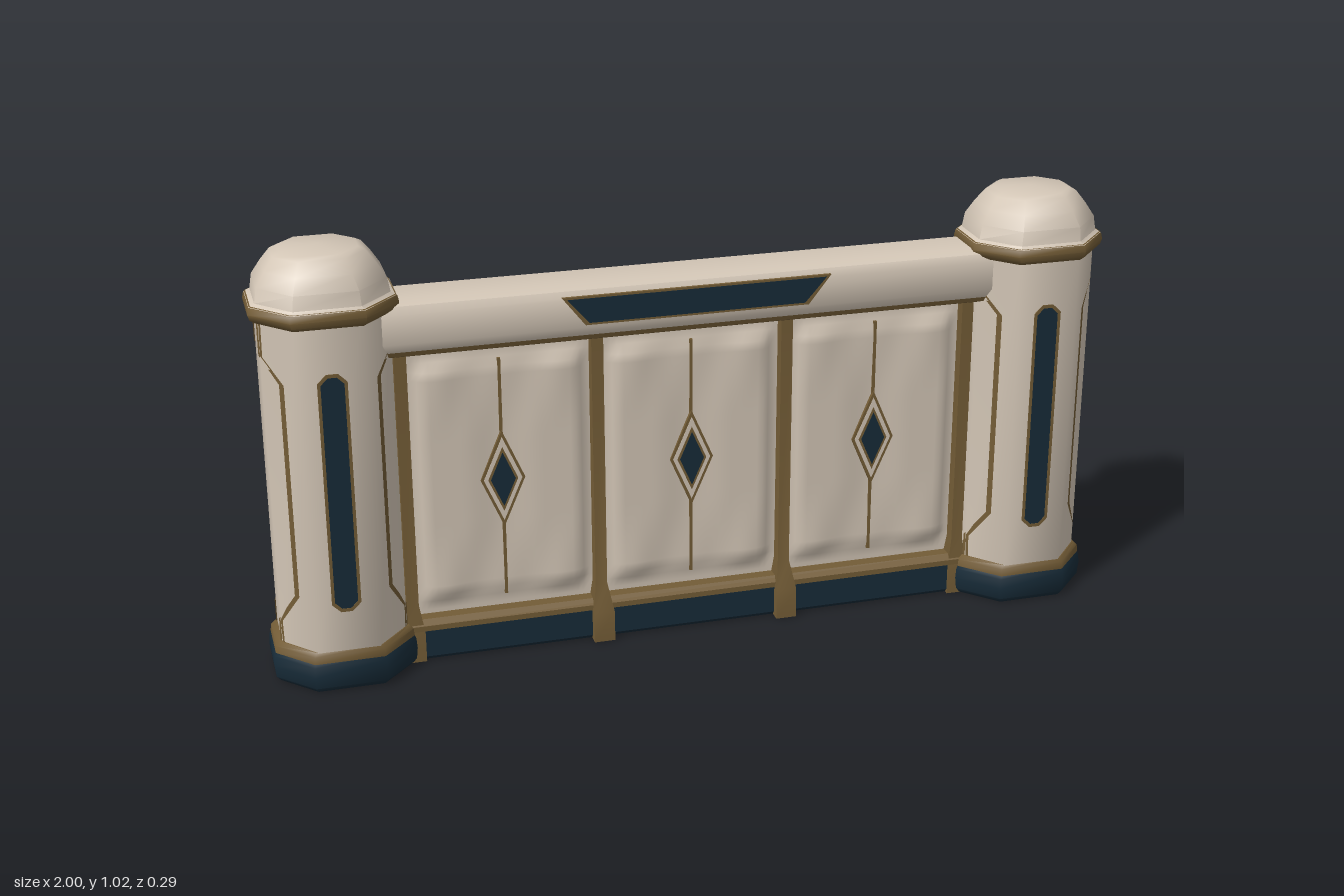
import * as THREE from 'three';
import { toCreasedNormals } from 'three/addons/utils/BufferGeometryUtils.js';

const mat = (name, color, side = THREE.FrontSide) => {
  const m = new THREE.MeshStandardMaterial({ color, side });
  m.name = name;
  return m;
};
const cream = mat('cream stone', 0xd3c6b6);
const gold = mat('dull gold', 0x735c36, THREE.DoubleSide);
const navy = mat('dark navy', 0x172b38);

const POST_X = 0.836, HX = 0.143, HZ = 0.135;
const CX = 0.5, CZ = 0.41; // octagon corner positions as fractions of the half widths

function add(parent, name, geometry, material, x = 0, y = 0, z = 0) {
  const m = new THREE.Mesh(geometry, material);
  m.name = name;
  m.position.set(x, y, z);
  parent.add(m);
  return m;
}

// Octagonal solid through rows of [y, halfX, halfZ], closed at both ends
function octLoft(rows, crease) {
  const ring = [[CX, 1], [1, CZ], [1, -CZ], [CX, -1], [-CX, -1], [-1, -CZ], [-1, CZ], [-CX, 1]];
  const all = [[rows[0][0], 0, 0], ...rows, [rows.at(-1)[0] + 0.004, 0, 0]];
  const pos = [], idx = [];
  for (const [y, hx, hz] of all) for (const [x, z] of ring) pos.push(x * hx, y, z * hz);
  const last = all.length - 2;
  for (let r = 0; r <= last; r++) for (let i = 0; i < 8; i++) {
    const a = r * 8 + i, b = r * 8 + (i + 1) % 8;
    if (r > 0) idx.push(a, b, b + 8);
    if (r < last) idx.push(a, b + 8, a + 8);
  }
  const g = new THREE.BufferGeometry();
  g.setAttribute('position', new THREE.Float32BufferAttribute(pos, 3));
  g.setIndex(idx);
  return toCreasedNormals(g, crease);
}

// Flat plate from outline points, with an optional hole outline
function plate(points, depth, hole) {
  const toV = p => p.map(([x, y]) => new THREE.Vector2(x, y));
  const s = new THREE.Shape(toV(points));
  if (hole) s.holes.push(new THREE.Path(toV(hole)));
  return new THREE.ExtrudeGeometry(s, { depth, bevelEnabled: false });
}
const diamond = (w, h) => [[0, -h], [w, 0], [0, h], [-w, 0]];
const slot = (w, h, c) => [[-w + c, -h], [w - c, -h], [w, -h + c], [w, h - c], [w - c, h], [-w + c, h], [-w, h - c], [-w, -h + c]];
const trapezoid = (b, t, h) => [[-b, -h], [b, -h], [t, h], [-t, h]];

// Gold outline that follows the side and corner faces of a post: rows of [z, y, half width]
function sideOutline(sx, sz) {
  const path = [
    [0.056, 0.1, 0.008], [0.056, 0.155, 0.007], [0.1, 0.23, 0.005],
    [0.1, 0.74, 0.005], [0.056, 0.795, 0.007], [0.056, 0.875, 0.008],
  ];
  const surfaceX = z => {
    const t = Math.max(0, (z - HZ * CZ) / (HZ * (1 - CZ)));
    return HX * (1 - t * (1 - CX)) + 0.003;
  };
  const pos = [], idx = [];
  path.forEach(([z, y, w], i) => {
    for (const zz of [z - w, z + w]) pos.push(sx * surfaceX(zz), y, sz * zz);
    if (i) {
      const a = i * 2 - 2;
      idx.push(...(sx * sz > 0 ? [a, a + 2, a + 1, a + 1, a + 2, a + 3] : [a, a + 1, a + 2, a + 1, a + 3, a + 2]));
    }
  });
  const g = new THREE.BufferGeometry();
  g.setAttribute('position', new THREE.Float32BufferAttribute(pos, 3));
  g.setIndex(idx);
  g.computeVertexNormals();
  return g;
}

function makePost() {
  const post = new THREE.Group();
  add(post, 'postBase', octLoft([[0, 0.152, 0.134], [0.012, 0.162, 0.143], [0.04, 0.165, 0.145], [0.065, 0.163, 0.143], [0.077, 0.157, 0.139]], 0.9), navy);
  add(post, 'postBaseBand', octLoft([[0.073, 0.16, 0.141], [0.09, 0.158, 0.139], [0.1, 0.148, 0.134]], 0.9), gold);
  add(post, 'postShaft', octLoft([[0.09, HX, HZ], [0.89, HX, HZ]], 0.9), cream);
  add(post, 'postCollar', octLoft([[0.872, 0.15, 0.135], [0.88, 0.16, 0.143], [0.893, 0.164, 0.146], [0.907, 0.161, 0.143], [0.911, 0.158, 0.14]], 0.9), gold);
  add(post, 'postCap', octLoft([[0.909, 0.16, 0.142], [0.916, 0.147, 0.133], [0.95, 0.141, 0.131], [0.982, 0.121, 0.11], [1.01, 0.1, 0.087], [1.018, 0.085, 0.074]], 0.9), cream);
  for (const sx of [-1, 1]) for (const sz of [-1, 1]) add(post, 'postSideOutline', sideOutline(sx, sz), gold);
  for (const turn of [0, Math.PI]) {
    const inlay = new THREE.Group();
    inlay.name = 'postInlay';
    inlay.rotation.y = turn;
    add(inlay, 'inlayRim', plate(slot(0.033, 0.286, 0.02), 0.003, slot(0.026, 0.278, 0.016)), gold, 0, 0.482, HZ - 0.001);
    add(inlay, 'inlay', plate(slot(0.027, 0.279, 0.016), 0.002), navy, 0, 0.482, HZ - 0.001);
    post.add(inlay);
  }
  return post;
}

// Soft quilted panel, raised in two halves with a crease down the middle
function quilt() {
  const g = new THREE.PlaneGeometry(0.43, 0.68, 32, 32);
  const p = g.attributes.position;
  const ramp = THREE.MathUtils.smoothstep;
  for (let i = 0; i < p.count; i++) {
    const x = Math.abs(p.getX(i)), y = Math.abs(p.getY(i));
    const edge = ramp(0.205 - x, 0, 0.03) * ramp(0.305 - y, 0, 0.03);
    const crease = 0.4 + 0.6 * ramp(x, 0, 0.09);
    const ripple = 0.004 * Math.cos(x * 45) * ramp(y, 0.1, 0.28);
    p.setZ(i, edge * (0.014 * crease + ripple));
  }
  g.computeVertexNormals();
  return g;
}

// Everything applied to one face of the railing
function makeFace() {
  const face = new THREE.Group();
  for (const x of [-0.45, 0, 0.45]) {
    const panel = new THREE.Group();
    panel.name = 'panel';
    panel.position.set(x, 0.43, 0.012);
    add(panel, 'quiltedPanel', quilt(), cream);
    add(panel, 'panelSeam', new THREE.BoxGeometry(0.007, 0.59, 0.008), gold, 0, 0, 0.007);
    add(panel, 'diamondFrame', plate(diamond(0.052, 0.12), 0.009), gold, 0, 0, 0.006);
    add(panel, 'diamondBand', plate(diamond(0.045, 0.104), 0.002), cream, 0, 0, 0.014);
    add(panel, 'diamondInnerRim', plate(diamond(0.035, 0.08), 0.002), gold, 0, 0, 0.0155);
    add(panel, 'diamondGem', plate(diamond(0.029, 0.067), 0.002), navy, 0, 0, 0.017);
    face.add(panel);
  }
  // Inlay on the top rail
  add(face, 'railInlayRim', plate(trapezoid(0.262, 0.315, 0.034), 0.007), gold, 0, 0.841, 0.079);
  add(face, 'railInlay', plate(trapezoid(0.253, 0.304, 0.029), 0.002), navy, 0, 0.841, 0.0848);
  return face;
}

// Upright bar that widens into a foot of the given half depth
function makeMullion(footZ) {
  const rows = [[0, 0.025, footZ], [0.075, 0.025, footZ - 0.002], [0.14, 0.014, 0.042], [0.775, 0.014, 0.04]];
  const g = new THREE.BoxGeometry(2, 1, 2, 1, rows.length - 1, 1);
  const p = g.attributes.position;
  for (let i = 0; i < p.count; i++) {
    const [y, hx, hz] = rows[Math.round((p.getY(i) + 0.5) * (rows.length - 1))];
    p.setXYZ(i, p.getX(i) * hx, y, p.getZ(i) * hz);
  }
  return toCreasedNormals(g, 0.5);
}

// Bar along x from a half section of [z, y], listed upwards
function bar(half, length) {
  const section = [...half, ...half.map(([z, y]) => [-z, y]).reverse()];
  const g = plate(section, length);
  g.translate(0, 0, -length / 2);
  g.rotateY(Math.PI / 2);
  return toCreasedNormals(g, 0.7);
}

export function createModel() {
  const model = new THREE.Group();
  model.name = 'railing';

  for (const [name, side] of [['leftPost', 1], ['rightPost', -1]]) {
    const post = makePost();
    post.name = name;
    post.position.x = side * POST_X;
    model.add(post);
  }

  add(model, 'topRail', bar([[0.07, 0.778], [0.081, 0.8], [0.081, 0.866], [0.07, 0.885], [0.045, 0.894]], 1.5), cream);
  add(model, 'railTrim', bar([[0.055, 0.762], [0.066, 0.767], [0.072, 0.784]], 1.46), gold);
  add(model, 'bottomRail', bar([[0.043, 0], [0.052, 0.01], [0.052, 0.078]], 1.46), navy);
  add(model, 'bottomTrim', bar([[0.054, 0.077], [0.054, 0.09], [0.04, 0.102]], 1.46), gold);
  add(model, 'panelCore', new THREE.BoxGeometry(1.4, 0.7, 0.022), cream, 0, 0.43, 0);

  for (const x of [-0.226, 0.226]) add(model, 'mullion', makeMullion(0.072), gold, x);
  for (const x of [-0.675, 0.675]) add(model, 'endMullion', makeMullion(0.056), gold, x);

  const front = makeFace();
  front.name = 'frontFace';
  const back = makeFace();
  back.name = 'backFace';
  back.rotation.y = Math.PI;
  model.add(front, back);
  return model;
}
